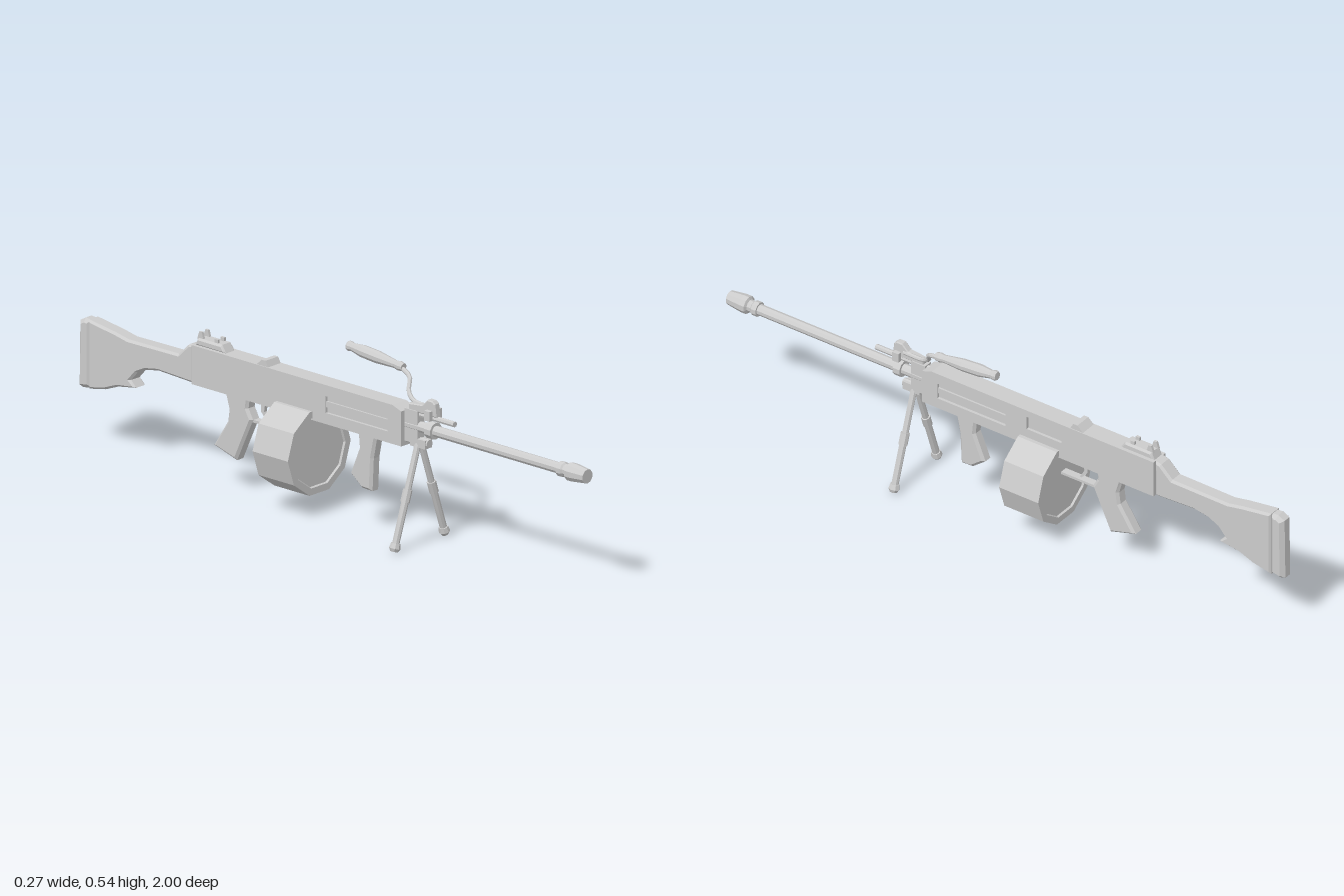
import * as THREE from 'three';

const mat = new THREE.MeshStandardMaterial({ color: 0xcccccc, flatShading: true, side: THREE.DoubleSide });
const V = (x, y, z) => new THREE.Vector3(x, y, z);

export function createModel() {
  const root = new THREE.Group();
  const add = (name, geo, x = 0, y = 0, z = 0) => {
    const m = new THREE.Mesh(geo, mat);
    m.name = name;
    m.position.set(x, y, z);
    root.add(m);
    return m;
  };
  const outline = (pts, Type = THREE.Shape) => new Type(pts.map(([a, b]) => new THREE.Vector2(a, b)));
  const rect = (z0, z1, y0, y1) => [[z0, y0], [z1, y0], [z1, y1], [z0, y1]];

  // side profile given as [z, y], extruded across x, with optional bevel and holes
  const profile = (name, pts, width, bevel = 0, x = 0, holes = []) => {
    const s = outline(pts);
    s.holes = holes.map(h => outline(h, THREE.Path));
    const g = new THREE.ExtrudeGeometry(s, {
      depth: width - 2 * bevel, bevelEnabled: bevel > 0, bevelSize: bevel,
      bevelThickness: bevel, bevelOffset: -bevel, bevelSegments: 1,
    });
    g.translate(0, 0, -(width - 2 * bevel) / 2);
    g.rotateY(-Math.PI / 2);
    return add(name, g, x);
  };
  const box = (name, w, h, d, x, y, z) => add(name, new THREE.BoxGeometry(w, h, d), x, y, z);
  // turned part along z; points are [radius, z]
  const turned = (name, pts, x, y, sides = 10) => {
    const g = new THREE.LatheGeometry(pts.map(([r, z]) => new THREE.Vector2(r, z)), sides);
    g.rotateX(Math.PI / 2);
    return add(name, g, x, y, 0);
  };
  // rod between two points
  const rod = (name, a, b, r0, r1 = r0, sides = 8) => {
    const m = add(name, new THREE.CylinderGeometry(r1, r0, a.distanceTo(b), sides));
    m.position.copy(a).lerp(b, 0.5);
    m.quaternion.setFromUnitVectors(V(0, 1, 0), b.clone().sub(a).normalize());
    return m;
  };

  // receiver: narrow core between two pierced side plates
  const body = [[0.29, 0.3], [0.29, 0.408], [0.255, 0.42], [-0.54, 0.42], [-0.54, 0.3]];
  profile('receiverCore', body, 0.042);
  const slot = rect(0.235, -0.01, 0.334, 0.386);
  const port = rect(-0.085, -0.21, 0.355, 0.398);
  profile('leftSidePlate', body, 0.01, 0, 0.025, [slot, port]);
  profile('rightSidePlate', body, 0.01, 0, -0.025, [slot]);
  for (const s of [1, -1]) box('slotRail', 0.008, 0.018, 0.245, s * 0.023, 0.36, 0.1125);
  profile('coverLatch', [[-0.24, 0.42], [-0.25, 0.438], [-0.265, 0.438], [-0.285, 0.42]], 0.054);

  // rear sight
  profile('rearSightBase', [[-0.415, 0.42], [-0.43, 0.443], [-0.525, 0.443], [-0.535, 0.42]], 0.046, 0.006);
  for (const s of [1, -1]) {
    profile('rearSightEar', [[-0.505, 0.44], [-0.512, 0.463], [-0.522, 0.463], [-0.53, 0.44]], 0.008, 0, s * 0.013);
    box('rearSightKnob', 0.008, 0.012, 0.014, s * 0.013, 0.448, -0.455);
  }

  // stock and butt plate
  profile('stock', [[-0.54, 0.42], [-0.56, 0.415], [-0.6, 0.377], [-0.8, 0.375], [-0.85, 0.385],
    [-0.955, 0.4], [-0.955, 0.187], [-0.89, 0.2], [-0.84, 0.22], [-0.77, 0.232], [-0.79, 0.252],
    [-0.765, 0.28], [-0.73, 0.297], [-0.68, 0.306], [-0.54, 0.3]], 0.05, 0.007);
  profile('buttPlate', [[-0.95, 0.398], [-0.975, 0.4], [-0.997, 0.388], [-1, 0.188], [-0.985, 0.183],
    [-0.95, 0.19]], 0.048, 0.012);

  // grips
  profile('pistolGrip', [[-0.325, 0.305], [-0.33, 0.27], [-0.312, 0.238], [-0.375, 0.1], [-0.465, 0.127],
    [-0.41, 0.212], [-0.405, 0.25], [-0.42, 0.305]], 0.042, 0.008);
  profile('foregrip', [[0.18, 0.305], [0.165, 0.23], [0.16, 0.128], [0.12, 0.13], [0.075, 0.165],
    [0.11, 0.25], [0.105, 0.305]], 0.04, 0.008);

  // trigger and guard
  box('triggerGuard', 0.024, 0.008, 0.13, 0, 0.234, -0.255);
  profile('trigger', [[-0.27, 0.305], [-0.275, 0.27], [-0.258, 0.243], [-0.266, 0.243], [-0.287, 0.268],
    [-0.287, 0.305]], 0.012);

  // ten-sided drum magazine with recessed end faces
  const drum = new THREE.LatheGeometry([[0, -0.064], [0.11, -0.064], [0.113, -0.07], [0.135, -0.07],
    [0.135, 0.07], [0.113, 0.07], [0.11, 0.064], [0, 0.064]].map(([r, y]) => new THREE.Vector2(r, y)), 10);
  drum.rotateY(Math.PI / 2);
  drum.rotateX(Math.PI / 2);
  add('drumMagazine', drum, 0, 0.198, -0.132);

  // barrel, muzzle and gas tubes
  turned('barrel', [[0, 0.28], [0.017, 0.28], [0.017, 0.92], [0, 0.92]], 0, 0.365);
  turned('muzzle', [[0.017, 0.893], [0.023, 0.893], [0.023, 0.91], [0.019, 0.915], [0.019, 0.928],
    [0.028, 0.932], [0.028, 0.95], [0.022, 1], [0, 1]], 0, 0.365);
  turned('barrelCollar', [[0.017, 0.375], [0.026, 0.375], [0.026, 0.4], [0.017, 0.4]], 0, 0.365);
  turned('upperTube', [[0, 0.28], [0.009, 0.28], [0.009, 0.475], [0, 0.475]], 0, 0.403, 8);
  turned('lowerTube', [[0, 0.28], [0.013, 0.28], [0.013, 0.375], [0, 0.375]], 0, 0.32);
  box('barrelClamp', 0.03, 0.1, 0.05, 0, 0.365, 0.315);

  // front sight
  profile('frontSight', [[0.41, 0.41], [0.405, 0.45], [0.395, 0.458], [0.375, 0.458], [0.355, 0.438],
    [0.3, 0.432], [0.3, 0.41]], 0.022, 0.003);
  for (const s of [1, -1]) box('frontSightTab', 0.014, 0.03, 0.022, s * 0.02, 0.415, 0.388);

  // carry handle
  const arm = new THREE.CatmullRomCurve3([V(0.008, 0.43, 0.37), V(0.012, 0.434, 0.3), V(0.024, 0.455, 0.27),
    V(0.045, 0.487, 0.255), V(0.056, 0.502, 0.215)]);
  add('carryHandleArm', new THREE.TubeGeometry(arm, 12, 0.007, 8));
  const grip = turned('carryHandleGrip', [[0, 0], [0.013, 0], [0.016, 0.006], [0.013, 0.02], [0.019, 0.06],
    [0.019, 0.12], [0.012, 0.19], [0.015, 0.205], [0.012, 0.22], [0, 0.22]], 0.057, 0.523);
  grip.rotation.x = 0.08;

  // bipod: pivot and two telescoping legs
  box('bipodPivot', 0.03, 0.026, 0.06, 0, 0.318, 0.34);
  for (const s of [1, -1]) {
    const at = t => V(s * (0.006 + 0.103 * t), 0.315 - 0.305 * t, 0.335);
    rod('bipodUpperLeg', at(0), at(0.55), 0.01);
    rod('bipodSleeve', at(0.43), at(0.55), 0.014, 0.014);
    rod('bipodLowerLeg', at(0.55), at(0.96), 0.011);
    rod('bipodFoot', at(0.93), at(0.98), 0.014, 0.017);
    rod('bipodFootTip', at(0.98), at(1.01), 0.017, 0.011);
  }
  return root;
}
